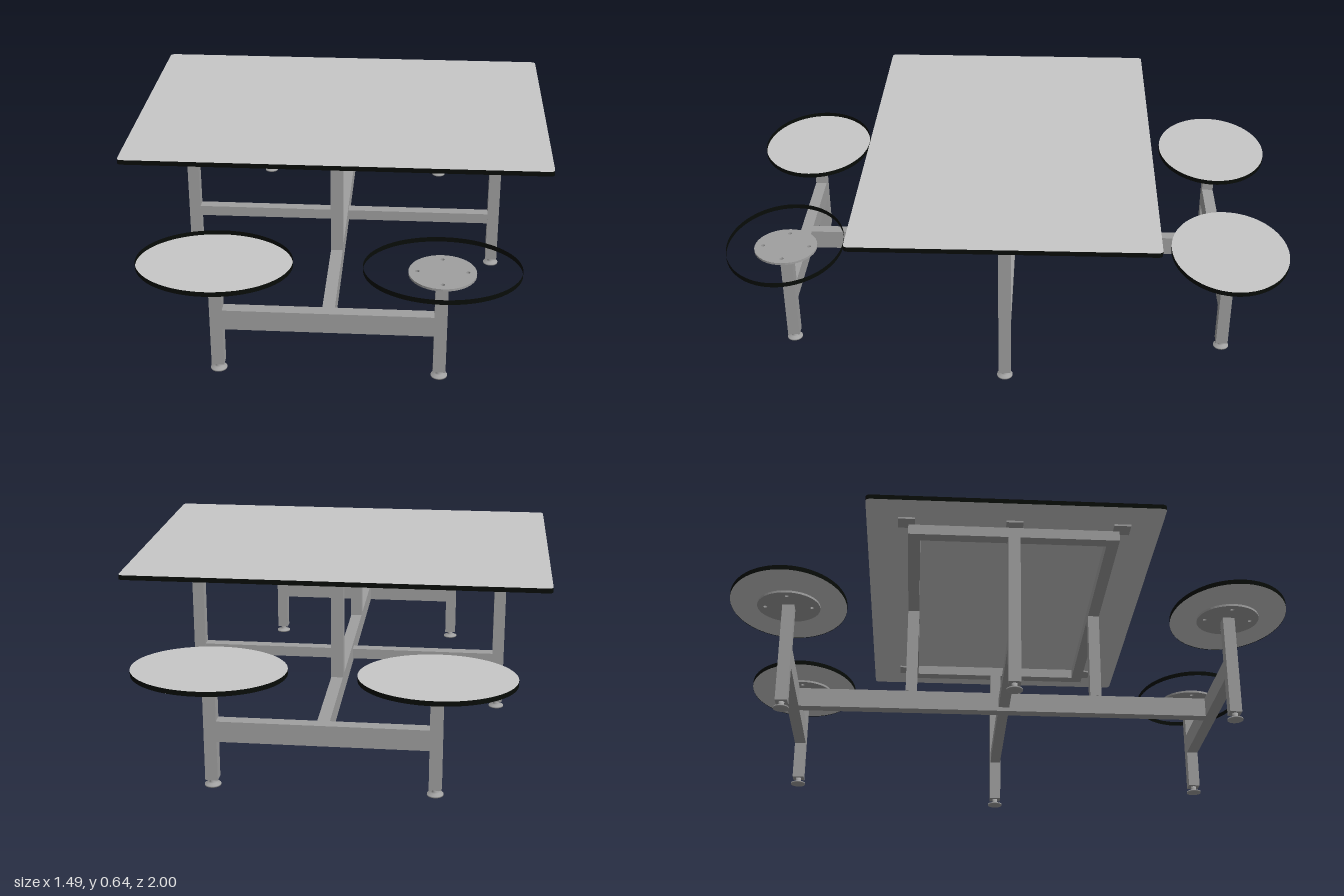
import * as THREE from 'three';

const topGrey = new THREE.MeshStandardMaterial({ color: 0xc8c8c8 });
topGrey.name = 'surface grey';
const steel = new THREE.MeshStandardMaterial({ color: 0xa0a0a0 });
steel.name = 'frame grey';
const black = new THREE.MeshStandardMaterial({ color: 0x080c08 });
black.name = 'edge black';
// Open sheets are seen from both faces
topGrey.side = black.side = THREE.DoubleSide;

const SEAT_X = 0.375, SEAT_Z = 0.793, LEG_X = 0.577, RAIL_Z = 0.352;
const TUBE = 0.043, LEG_BOTTOM = 0.025;

function add(parent, name, geometry, material) {
  const mesh = new THREE.Mesh(geometry, material);
  mesh.name = name;
  parent.add(mesh);
  return mesh;
}

// Box given by its limits on each axis
function bar(parent, name, x0, x1, y0, y1, z0, z1) {
  const mesh = add(parent, name, new THREE.BoxGeometry(x1 - x0, y1 - y0, z1 - z0), steel);
  mesh.position.set((x0 + x1) / 2, (y0 + y1) / 2, (z0 + z1) / 2);
  return mesh;
}

// Square upright centred on x, z
function post(parent, name, x, z, y0, y1) {
  const h = TUBE / 2;
  return bar(parent, name, x - h, x + h, y0, y1, z - h, z + h);
}

// Levelling foot: flat pad, small cone and threaded stem
function foot(parent, x, z) {
  const profile = [[0, 0], [0.028, 0], [0.028, 0.005], [0.014, 0.009], [0.01, 0.014], [0.01, 0.026], [0, 0.026]]
    .map(([r, y]) => new THREE.Vector2(r, y));
  add(parent, 'foot', new THREE.LatheGeometry(profile, 20), steel).position.set(x, 0, z);
}

// Rounded rectangle slab with a black edge
function tableTop(parent) {
  const w = 0.745, d = 0.52, r = 0.018;
  const s = new THREE.Shape();
  s.moveTo(-w + r, -d).lineTo(w - r, -d).quadraticCurveTo(w, -d, w, -d + r);
  s.lineTo(w, d - r).quadraticCurveTo(w, d, w - r, d);
  s.lineTo(-w + r, d).quadraticCurveTo(-w, d, -w, d - r);
  s.lineTo(-w, -d + r).quadraticCurveTo(-w, -d, -w + r, -d);
  const g = new THREE.ExtrudeGeometry(s, { depth: 0.017, bevelEnabled: false, curveSegments: 5 });
  g.rotateX(-Math.PI / 2);
  add(parent, 'tableTop', g, [topGrey, black]).position.y = 0.627;
}

// Oval seat edge with the chosen faces
function seat(parent, x, z, faces) {
  const group = new THREE.Group();
  group.name = 'seat';
  group.position.set(x, 0.403, z);
  group.scale.set(0.26, 1, 0.207);
  parent.add(group);
  const thick = 0.017;
  add(group, 'seatEdge', new THREE.CylinderGeometry(1, 1, thick, 64, 1, true), black).position.y = thick / 2;
  if (faces.includes('top')) {
    add(group, 'seatTop', new THREE.CircleGeometry(1, 64).rotateX(-Math.PI / 2), topGrey).position.y = thick;
  }
  if (faces.includes('bottom')) {
    add(group, 'seatUnderside', new THREE.CircleGeometry(1, 64).rotateX(Math.PI / 2), topGrey).position.y = 0.0015;
  }
}

// Round mounting plate with four screw holes
function mountPlate(parent, x, z) {
  const s = new THREE.Shape().absarc(0, 0, 0.112, 0, Math.PI * 2);
  for (let i = 0; i < 4; i++) {
    const a = i * Math.PI / 2;
    s.holes.push(new THREE.Path().absarc(0.083 * Math.cos(a), 0.083 * Math.sin(a), 0.007, 0, Math.PI * 2, true));
  }
  const g = new THREE.ExtrudeGeometry(s, { depth: 0.008, bevelEnabled: false, curveSegments: 20 });
  g.rotateX(-Math.PI / 2);
  add(parent, 'mountPlate', g, steel).position.set(x, 0.395, z);
}

export function createModel() {
  const model = new THREE.Group();
  model.name = 'canteenTable';
  const h = TUBE / 2;
  tableTop(model);

  // Rectangular frame beneath the top
  const frame = new THREE.Group();
  frame.name = 'topFrame';
  model.add(frame);
  for (const s of [-1, 1]) {
    bar(frame, 'longRail', -LEG_X - h, LEG_X + h, 0.582, 0.62, s * RAIL_Z - h, s * RAIL_Z + h);
    bar(frame, 'shortRail', s * LEG_X - h, s * LEG_X + h, 0.582, 0.62, -RAIL_Z + h, RAIL_Z - h);
    // Fixing tabs at the corners and middle of each end
    for (const t of [-1, 0, 1]) {
      const tab = bar(frame, 'fixingTab', -0.03, 0.03, 0.62, 0.627, -0.03, 0.03);
      tab.position.x = s * 0.605;
      tab.position.z = t * 0.38;
    }
  }

  // Base: spine, cross bar, posts and outer legs
  const base = new THREE.Group();
  base.name = 'base';
  model.add(base);
  bar(base, 'spineBeam', -0.021, 0.021, 0.167, 0.24, -SEAT_Z + h, SEAT_Z - h);
  bar(base, 'crossBar', -LEG_X + h, LEG_X - h, 0.182, 0.221, -0.02, 0.02);
  for (const s of [-1, 1]) {
    post(base, 'innerPost', 0, s * RAIL_Z, 0.24, 0.582);
    post(base, 'tableLeg', s * LEG_X, 0, LEG_BOTTOM, 0.582);
    foot(base, s * LEG_X, 0);
    bar(base, 'seatBeam', -SEAT_X + h, SEAT_X - h, 0.167, 0.24, s * SEAT_Z - h, s * SEAT_Z + h);
  }

  // Four seats on legs: one is a bare rim, its neighbour a shallow tray
  for (const sx of [-1, 1]) {
    for (const sz of [-1, 1]) {
      const x = sx * SEAT_X, z = sz * SEAT_Z;
      post(base, 'seatLeg', x, z, LEG_BOTTOM, 0.395);
      foot(base, x, z);
      mountPlate(base, x, z);
      seat(model, x, z, sz < 0 ? ['top', 'bottom'] : sx < 0 ? ['bottom'] : []);
    }
  }
  return model;
}
